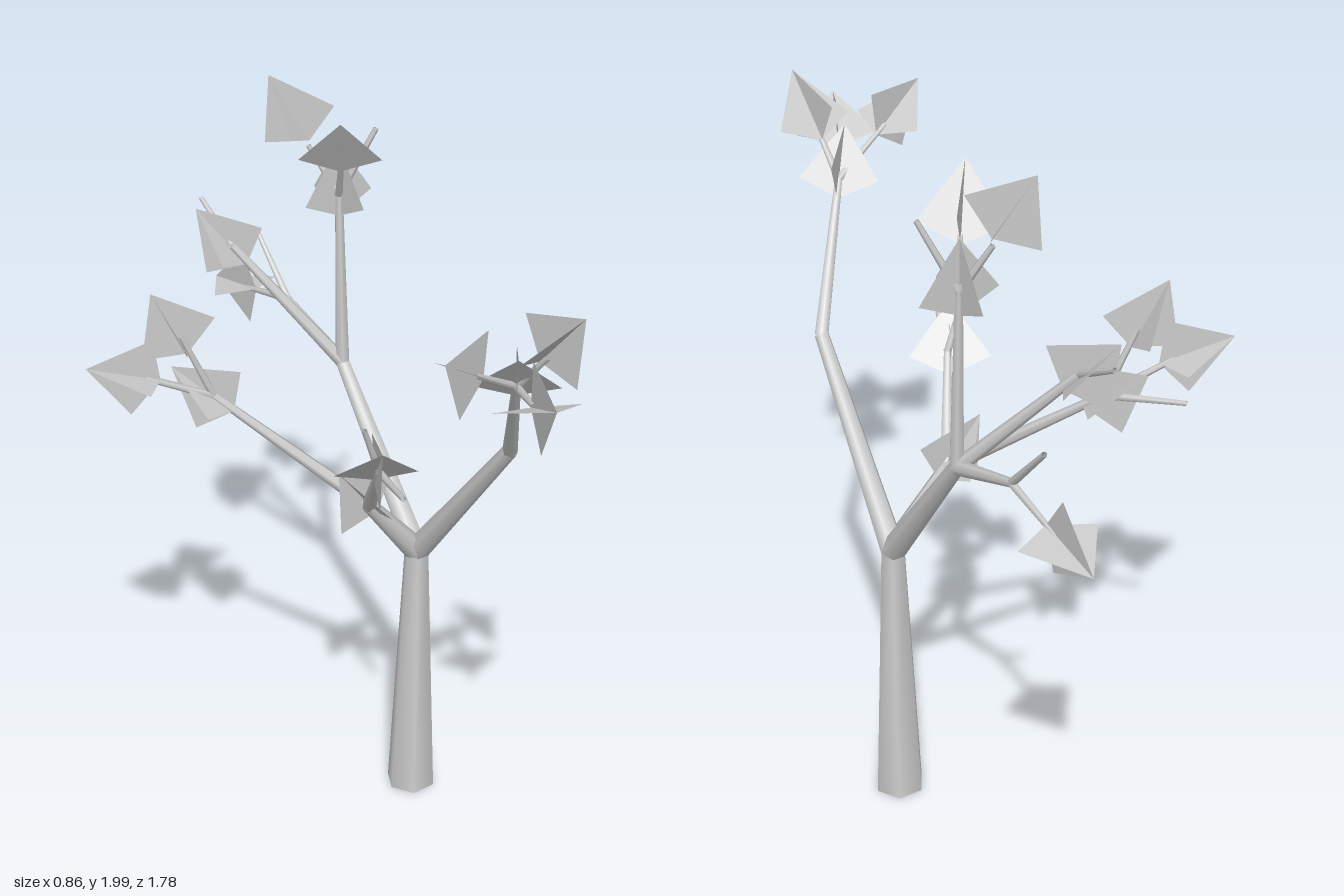
import * as THREE from 'three';

const grey = new THREE.MeshStandardMaterial({ color: 0xcccccc, side: THREE.DoubleSide });
grey.name = 'plain grey';

const UP = new THREE.Vector3(0, 1, 0);
const vec = (p) => new THREE.Vector3(...p);

// Six-sided open tapering limb between two points
function limb(name, from, to, r0, r1) {
  const a = vec(from), b = vec(to), dir = b.clone().sub(a);
  const geo = new THREE.CylinderGeometry(r1, r0, dir.length(), 6, 1, true, Math.PI / 6);
  const mesh = new THREE.Mesh(geo, grey);
  mesh.name = name;
  mesh.position.copy(a).lerp(b, 0.5);
  mesh.quaternion.setFromUnitVectors(UP, dir.normalize());
  return mesh;
}

// One flat kite: narrow end at the origin, widest near it, tip along +y
const kite = new THREE.ShapeGeometry(new THREE.Shape([
  new THREE.Vector2(0, 0), new THREE.Vector2(0.107, 0.05),
  new THREE.Vector2(0, 0.2), new THREE.Vector2(-0.107, 0.05),
]));

// Leaf made of two crossed kites; one of them is level across its width
function leaf(base, direction) {
  const d = vec(direction).normalize();
  const side = new THREE.Vector3(d.z, 0, -d.x);
  if (side.length() < 0.05) side.set(1, 0, 0);
  side.normalize();
  side.addScaledVector(d, -side.dot(d)).normalize();
  const group = new THREE.Group();
  group.name = 'leaf';
  for (const turn of [0, Math.PI / 2]) {
    const blade = new THREE.Mesh(kite, grey);
    blade.name = 'leafBlade';
    blade.rotation.y = turn;
    group.add(blade);
  }
  group.quaternion.setFromRotationMatrix(
    new THREE.Matrix4().makeBasis(side, d, side.clone().cross(d)));
  group.position.set(...base);
  return group;
}

export function createModel() {
  const tree = new THREE.Group();
  tree.name = 'tree';

  // Forks of the tree
  const root = [0.32, 0, 0.045], fork = [0.32, 0.77, 0.045];
  const front = [0.32, 1.24, 0.4], back = [0.32, 1.2, -0.29], side = [0.155, 0.97, 0.045];
  const frontTop = [0.15, 1.56, 0.6], backTop = [0.32, 1.68, -0.31];
  const backSide = [0.125, 1.51, -0.52], backOut = [0.32, 1.29, -0.54];
  const sideFront = [0.045, 1.19, 0.225], sideBack = [-0.12, 1.25, -0.26];

  tree.add(limb('trunk', root, fork, 0.069, 0.034));

  // Main branches
  for (const end of [front, back, side]) tree.add(limb('branch', fork, end, 0.034, 0.02));

  // Secondary branches
  for (const [from, to] of [
    [front, frontTop], [back, backTop], [back, backSide], [back, backOut],
    [side, sideFront], [side, sideBack],
  ]) tree.add(limb('smallBranch', from, to, 0.02, 0.011));

  // Twigs
  for (const [from, to] of [
    [frontTop, [-0.015, 1.66, 0.645]], [frontTop, [0.07, 1.6, 0.75]], [frontTop, [0.16, 1.67, 0.69]],
    [backTop, [0.4, 1.86, -0.26]], [backTop, [0.265, 1.81, -0.37]], [backTop, [0.28, 1.79, -0.25]],
    [backSide, [0.13, 1.593, -0.67]],
    [backOut, [0.32, 1.44, -0.68]], [backOut, [0.32, 1.25, -0.73]],
    [sideFront, [-0.02, 1.34, 0.245]], [sideFront, [-0.03, 1.23, 0.415]],
    [sideBack, [-0.29, 1.33, -0.315]], [sideBack, [-0.195, 1.43, -0.29]], [sideBack, [-0.245, 1.276, -0.435]],
  ]) tree.add(limb('twig', from, to, 0.011, 0.007));

  // Leaves: base point and pointing direction
  for (const [base, dir] of [
    [[0.17, 1.52, 0.575], [-0.4, 0.78, 0.475]],
    [[0.015, 1.64, 0.637], [-0.8, 0.53, 0.27]],
    [[0.08, 1.585, 0.73], [-0.37, 0.42, 0.83]],
    [[0.16, 1.65, 0.665], [0.08, 0.77, 0.63]],
    [[0.32, 1.62, -0.31], [0, 1, -0.03]],
    [[0.265, 1.825, -0.365], [-0.36, 0.85, -0.39]],
    [[0.285, 1.77, -0.26], [-0.32, 0.85, 0.42]],
    [[0.15, 1.46, -0.49], [-0.45, 0.75, -0.55]],
    [[0.32, 1.26, -0.69], [0, -0.17, -0.98]],
    [[0.18, 0.94, 0.045], [-0.62, 0.78, 0]],
    [[0.06, 1.145, 0.185], [-0.33, 0.73, 0.58]],
    [[-0.085, 1.21, -0.22], [-0.55, 0.57, -0.62]],
    [[-0.255, 1.32, -0.3], [-0.137, 0.045, -0.053]],
    [[-0.18, 1.38, -0.285], [-0.42, 0.89, -0.17]],
  ]) tree.add(leaf(base, dir));

  return tree;
}
